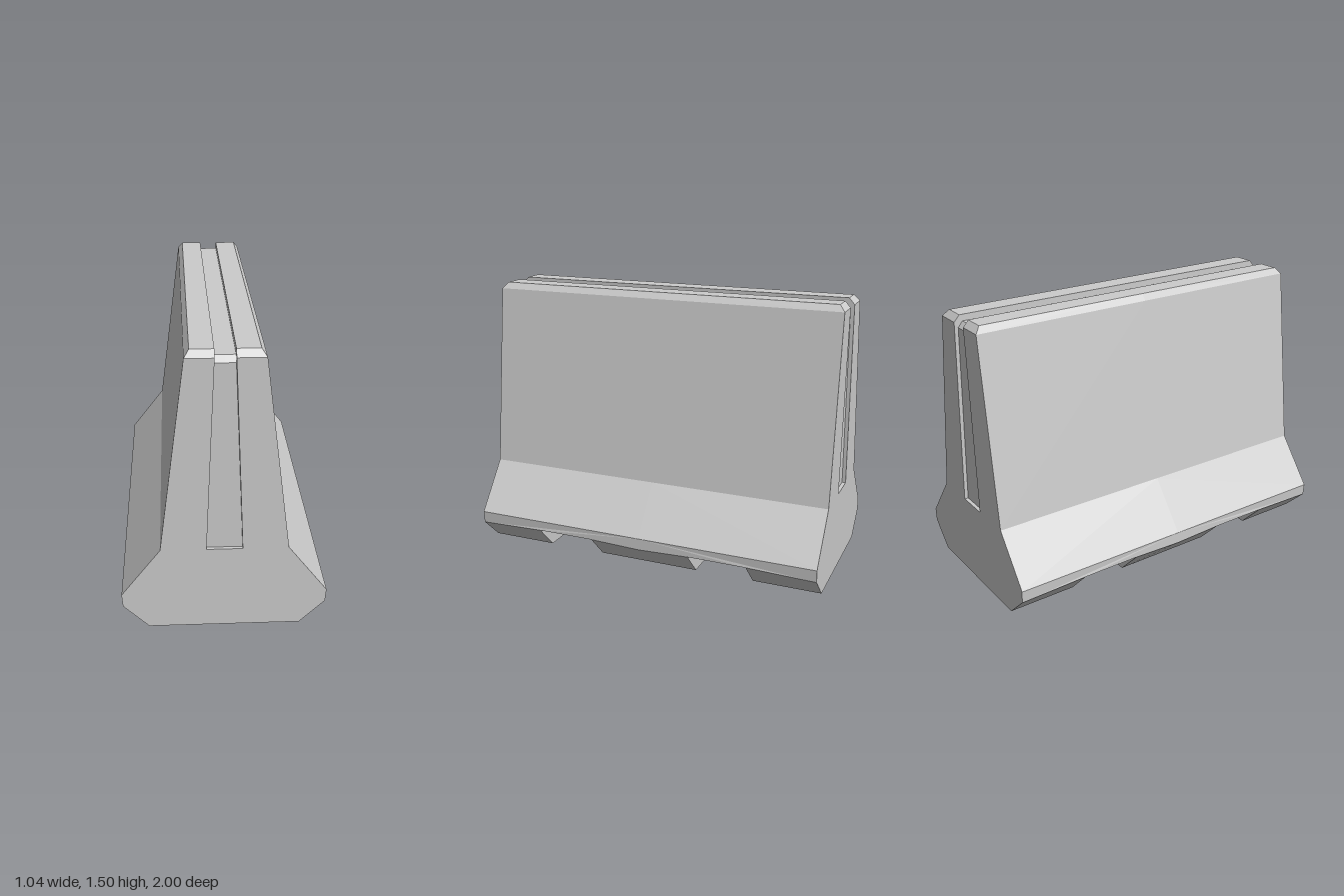
import * as THREE from 'three';

// One part: flat polygons of the +x +z quarter, mirrored into all four quarters.
// Each face is [outward direction, corner, corner, ...], filled as a fan from its first corner.
function quarterPart(name, faces, material) {
  const positions = [];
  for (const [outward, ...corners] of faces) {
    const pts = corners.map((c) => new THREE.Vector3(...c));
    const normal = new THREE.Vector3().crossVectors(
      pts[1].clone().sub(pts[0]), pts[2].clone().sub(pts[0]));
    const facesOut = normal.dot(new THREE.Vector3(...outward)) > 0;
    for (const sx of [1, -1]) for (const sz of [1, -1]) {
      const keep = facesOut === (sx * sz > 0);
      for (let i = 1; i < pts.length - 1; i++) {
        const tri = keep ? [0, i, i + 1] : [0, i + 1, i];
        for (const k of tri) positions.push(pts[k].x * sx, pts[k].y, pts[k].z * sz);
      }
    }
  }
  const geometry = new THREE.BufferGeometry();
  geometry.setAttribute('position', new THREE.Float32BufferAttribute(positions, 3));
  geometry.computeVertexNormals();
  const mesh = new THREE.Mesh(geometry, material);
  mesh.name = name;
  return mesh;
}

// Rectangle-like face between two profile points [x, y], from z0 to each point's own end z
const strip = (outward, [ax, ay], [bx, by], z0, za, zb = za) =>
  [outward, [ax, ay, z0], [bx, by, z0], [bx, by, zb], [ax, ay, za]];

export function createModel() {
  const material = new THREE.MeshStandardMaterial({ color: 0xcccccc, flatShading: true });
  const group = new THREE.Group();
  group.name = 'concreteBarrier';

  const X = [1, 0, 0], UP = [0, 1, 0], Z = [0, 0, 1];
  const DOWN = [0, -1, 0], IN = [-1, 0, 0], BACK = [0, 0, -1];

  // Outer profile, top to bottom
  const ridge = [0.165, 1.5], shoulder = [0.19, 1.466], waist = [0.32, 0.455];
  const rim = [0.52, 0.195], sole = [0.385, 0];
  const slot = 0.05, slotFoot = 0.09;   // half widths of the slot
  const n0 = 0.29, n1 = 0.62;           // underside notch, start and end
  const roof = 0.122;                   // underside notch height

  // Long sloped sides, chamfered top and rim
  group.add(quarterPart('sides', [
    strip(UP, [slot, 1.5], ridge, 0, 0.97),
    strip(X, ridge, shoulder, 0, 0.97, 1),
    strip(X, shoulder, waist, 0, 1),
    strip(X, waist, rim, 0, 1),
    [X, [0.52, 0.195, 0], [0.52, 0.195, 1], [0.515, 0.127, 1],
      [0.52, 0.14, n1], [0.52, 0.14, n0], [0.52, 0.13, 0]],
  ], material));

  // End walls either side of and below the slot
  group.add(quarterPart('ends', [
    [Z, [slot, 1.5, 0.97], [...ridge, 0.97], [...shoulder, 1], [slot, 1.466, 1]],
    [Z, [slot, 1.466, 1], [...shoulder, 1], [...waist, 1], [slotFoot, 0.455, 1]],
    [Z, [0, 0, 1], [...sole, 1], [0.515, 0.127, 1], [...rim, 1],
      [...waist, 1], [slotFoot, 0.455, 1], [0, 0.455, 1]],
  ], material));

  // Shallow channel along the top
  group.add(quarterPart('topChannel', [
    strip(UP, [0, 1.466], [slot, 1.466], 0, 0.955),
    strip(IN, [slot, 1.5], [slot, 1.466], 0, 0.97, 0.955),
    [Z, [0, 1.466, 0.955], [slot, 1.466, 0.955], [slot, 1.435, 0.98], [0, 1.435, 0.98]],
    [IN, [slot, 1.5, 0.97], [slot, 1.466, 1], [slot, 1.435, 0.98], [slot, 1.466, 0.955]],
  ], material));

  // Tapered slot running down each end
  group.add(quarterPart('endSlots', [
    [Z, [0, 1.435, 0.98], [slot, 1.435, 0.98], [slotFoot, 0.455, 0.98], [0, 0.455, 0.98]],
    [IN, [slot, 1.466, 1], [slotFoot, 0.455, 1], [slotFoot, 0.455, 0.98], [slot, 1.435, 0.98]],
    strip(UP, [0, 0.455], [slotFoot, 0.455], 0.98, 1),
  ], material));

  // Feet: flat soles and bevelled flanks
  group.add(quarterPart('feet', [
    strip(DOWN, [0, 0], sole, 0, n0),
    strip(DOWN, [0, 0], sole, n1, 1),
    [DOWN, [0.52, 0.13, 0], [...sole, 0], [...sole, n0], [0.52, 0.14, n0]],
    [DOWN, [0.52, 0.14, n1], [...sole, n1], [...sole, 1], [0.515, 0.127, 1]],
  ], material));

  // Cross notches under the base
  const notchWall = (outward, z) => [outward, [0, 0, z], [...sole, z],
    [0.52, 0.14, z], [0.385, roof, z], [0, roof, z]];
  group.add(quarterPart('notches', [
    notchWall(Z, n0),
    notchWall(BACK, n1),
    strip(DOWN, [0, roof], [0.385, roof], n0, n1),
    strip(DOWN, [0.385, roof], [0.52, 0.14], n0, n1),
  ], material));

  return group;
}
